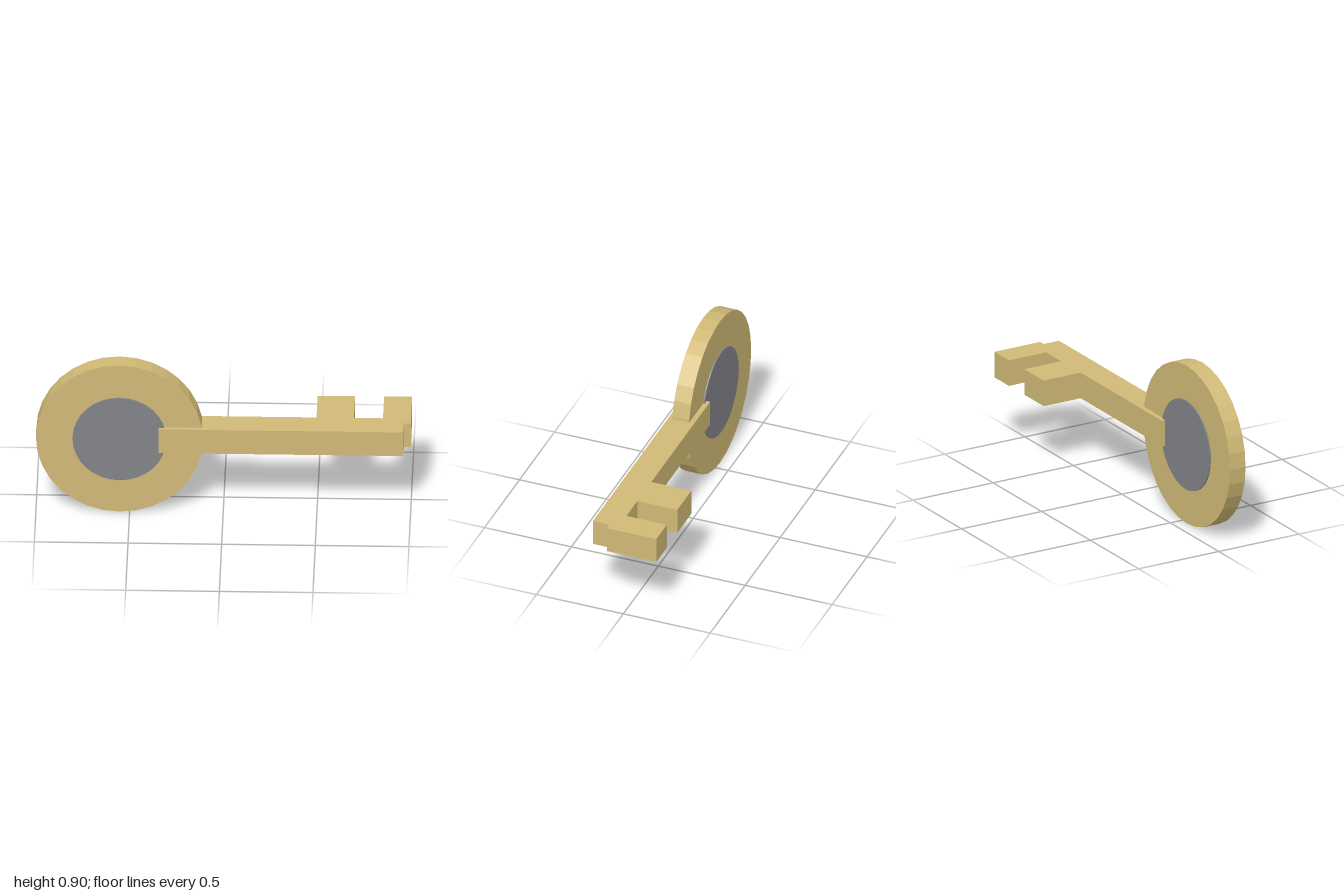
import * as THREE from 'three';

export function createModel() {
  const key = new THREE.Group();
  key.name = 'key';

  const brass = new THREE.MeshStandardMaterial({ color: 0xd0b976 });
  brass.name = 'brass';
  const steel = new THREE.MeshStandardMaterial({ color: 0x828388 });
  steel.name = 'steel';

  // Upright disc facing the front, with flat rim facets
  function disc(name, radius, z0, z1, material) {
    const geometry = new THREE.CylinderGeometry(radius, radius, z1 - z0, 32)
      .rotateX(Math.PI / 2)
      .scale(0.99, 1, 1)
      .toNonIndexed();
    geometry.computeVertexNormals();
    const mesh = new THREE.Mesh(geometry, material);
    mesh.name = name;
    mesh.position.set(-0.554, 0.452, (z0 + z1) / 2);
    key.add(mesh);
  }

  disc('bow', 0.451, 0.07, 0.167, brass);
  disc('bowInlay', 0.253, 0.062, 0.175, steel);

  // Shaft and bit in one outline, drawn as (x, -z) and extruded upward
  const outline = [
    [-0.345, 0.19], [0.963, 0.19], [0.963, 0.095], [1, 0.095], [1, -0.19],
    [0.85, -0.19], [0.85, 0.042], [0.695, 0.042], [0.695, -0.188],
    [0.495, -0.188], [0.495, 0.042], [-0.345, 0.042],
  ].map(([x, z]) => new THREE.Vector2(x, -z));
  const shaftGeometry = new THREE.ExtrudeGeometry(new THREE.Shape(outline), {
    depth: 0.146, bevelEnabled: false,
  }).rotateX(-Math.PI / 2);
  const shaft = new THREE.Mesh(shaftGeometry, brass);
  shaft.name = 'shaftAndTeeth';
  shaft.position.y = 0.379;
  key.add(shaft);

  return key;
}
